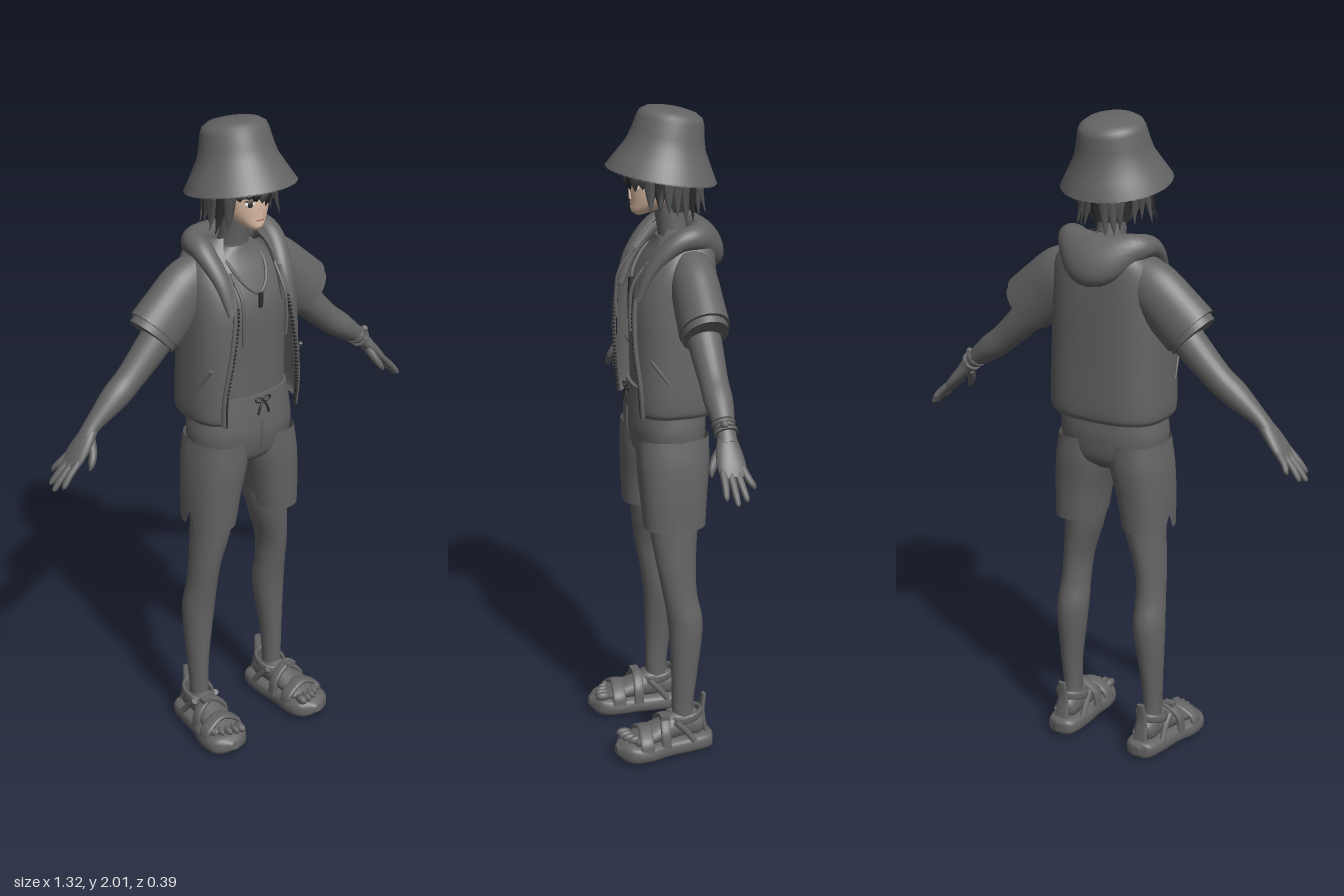
import * as THREE from 'three';

const mat = (name, color) => {
  const m = new THREE.MeshStandardMaterial({ color, side: THREE.DoubleSide });
  m.name = name;
  return m;
};

// Loft of rounded sections through points [x, y, z, radiusU, radiusV, frontGapDegrees].
// U follows opt.ref; opt.flat keeps every section horizontal; opt.n squares the section.
function loft(points, opt = {}) {
  const { ref = [1, 0, 0], flat = false, n = 2, seg = 24, rings = 24, caps = true, closed = false, warp } = opt;
  const path = new THREE.CatmullRomCurve3(points.map(p => new THREE.Vector3(p[0], p[1], p[2])), closed, 'catmullrom');
  const size = new THREE.CatmullRomCurve3(points.map(p => new THREE.Vector3(p[3], p[4], p[5] || 0)), closed, 'catmullrom');
  const open = points[0][5] > 0;
  const cols = open ? seg + 1 : seg;
  const pos = [], idx = [], r = new THREE.Vector3(...ref), up = new THREE.Vector3(0, 1, 0);
  const pw = c => Math.sign(c) * Math.pow(Math.abs(c), 2 / n);
  for (let i = 0; i <= rings; i++) {
    const c = path.getPoint(i / rings), s = size.getPoint(i / rings);
    const t = flat ? up : path.getTangent(i / rings);
    const u = r.clone().addScaledVector(t, -r.dot(t)).normalize();
    const v = new THREE.Vector3().crossVectors(t, u);
    const gap = open ? s.z * Math.PI / 180 : 0;
    for (let j = 0; j < cols; j++) {
      const a = open ? -Math.PI / 2 + gap + (Math.PI * 2 - 2 * gap) * j / seg : Math.PI * 2 * j / seg;
      const p = c.clone().addScaledVector(u, s.x * pw(Math.cos(a))).addScaledVector(v, s.y * pw(Math.sin(a)));
      if (warp) warp(p, j);
      pos.push(p.x, p.y, p.z);
    }
  }
  for (let i = 0; i < rings; i++) for (let j = 0; j < seg; j++) {
    const k = (j + 1) % cols, a = i * cols + j, b = i * cols + k;
    idx.push(a, b, b + cols, a, b + cols, a + cols);
  }
  if (caps && !open && !closed) for (const i of [0, rings]) {
    const base = pos.length / 3, c = path.getPoint(i / rings);
    for (let j = 0; j < cols; j++) pos.push(...pos.slice((i * cols + j) * 3, (i * cols + j) * 3 + 3));
    pos.push(c.x, c.y, c.z);
    for (let j = 0; j < cols; j++) {
      const a = base + j, b = base + (j + 1) % cols;
      idx.push(...(i ? [a, b, base + cols] : [b, a, base + cols]));
    }
  }
  const g = new THREE.BufferGeometry();
  g.setAttribute('position', new THREE.Float32BufferAttribute(pos, 3));
  g.setIndex(idx);
  g.computeVertexNormals();
  return g;
}

export function createModel() {
  const grey = mat('grey', 0x646464), skin = mat('face skin', 0xe0c0a8), hairMat = mat('hair grey', 0x525252);
  const dark = mat('dark trim', 0x2c2c2c), white = mat('eye white', 0xe8e4e0), lip = mat('lip', 0xa86a5c);
  const model = new THREE.Group();
  const add = (name, geo, m = grey, x = 0, y = 0, z = 0) => {
    const o = new THREE.Mesh(geo, m);
    o.name = name;
    o.position.set(x, y, z);
    model.add(o);
    return o;
  };
  // Thin round cord of constant radius
  const cord = (name, pts, rad, m = grey, opt = {}) =>
    add(name, loft(pts.map(p => [...p, rad, rad]), { ref: [0.2, 0.3, 1], seg: 8, rings: 28, ...opt }), m);
  const Z = [0, 0, 1];

  // Bucket hat, tilted back
  const hat = add('bucketHat', new THREE.LatheGeometry([
    [0, .196], [.04, .195], [.075, .188], [.093, .176], [.1, .16], [.108, .12], [.118, .085], [.14, .045], [.166, 0],
    [.163, -.004], [.137, .04], [.113, .08], [.1, .12], [.09, .165], [0, .18]
  ].map(p => new THREE.Vector2(...p)).reverse(), 48), grey, 0, 1.806, -.008);
  hat.rotation.x = -.175;

  // Head, neck and face
  add('head', loft([[0, 1.69, .058, .01, .01], [0, 1.703, .045, .03, .038], [0, 1.73, .02, .055, .064], [0, 1.76, .001, .07, .086],
    [0, 1.8, -.01, .08, .098], [0, 1.86, -.015, .085, .1], [0, 1.93, -.02, .06, .075]], { flat: true }), skin);
  add('neck', loft([[0, 1.58, -.055, .062, .058], [0, 1.63, -.045, .047, .046], [0, 1.7, -.03, .043, .042], [0, 1.75, -.02, .043, .042]], { flat: true }));
  const nose = add('nose', new THREE.ConeGeometry(.009, .035, 8), skin, 0, 1.757, .086);
  nose.rotation.x = .25;
  add('mouth', new THREE.BoxGeometry(.024, .003, .004), lip, 0, 1.725, .083);
  for (const s of [1, -1]) {
    const disc = (name, m, w, h, y, z) => {
      const o = add(name, new THREE.SphereGeometry(1, 16, 10), m, s * .033, y, z);
      o.scale.set(w, h, .004);
      o.rotation.y = s * .4;
    };
    disc('eye', white, .016, .009, 1.777, .0775);
    disc('iris', dark, .008, .0095, 1.777, .0795);
    disc('upperLash', dark, .018, .003, 1.787, .079);
    const ear = add('ear', new THREE.SphereGeometry(1, 12, 8), skin, s * .08, 1.775, -.02);
    ear.scale.set(.01, .026, .016);
  }

  // Hair: back shell plus tapering locks
  add('hairShell', loft([[0, 1.7, -.035, .058, .06, 85], [0, 1.75, -.028, .083, .09, 72], [0, 1.82, -.02, .094, .104, 60],
    [0, 1.92, -.02, .075, .09, 50]], { flat: true }), hairMat);
  for (let k = 0; k < 26; k++) {
    const a = Math.PI * 2 * k / 26, sx = Math.sin(a), cz = Math.cos(a), wob = Math.sin(k * 5.3);
    const front = cz > .72;
    const end = front ? 1.778 + .014 * wob : 1.705 + .014 * wob - (cz < -.3 ? .02 : 0);
    const flare = front ? .099 : .098 + .014 * Math.abs(wob);
    add('hairLock', loft([[sx * .088, 1.87, -.016 + cz * .1, .022, .009], [sx * .099, 1.815, -.016 + cz * .112, .021, .009],
      [(sx + wob * .05) * .1, (1.815 + end) / 2, -.016 + cz * .112, .015, .007],
      [(sx + wob * .12) * flare, end, -.016 + cz * (front ? .108 : flare + .01), .001, .001]],
      { ref: [cz, 0, -sx], seg: 6, rings: 10 }), k % 4 === 1 ? dark : hairMat);
  }

  // Shirt and open vest
  add('shirt', loft([[0, 1.1, -.02, .15, .095], [0, 1.3, -.02, .15, .1], [0, 1.45, -.022, .15, .105], [0, 1.54, -.04, .14, .09],
    [0, 1.595, -.05, .1, .068], [0, 1.625, -.048, .056, .054]], { flat: true, n: 2.4, seg: 32 }));
  add('vest', loft([[0, 1.105, -.025, .178, .13, 41], [0, 1.14, -.026, .19, .138, 40], [0, 1.3, -.025, .186, .136, 32],
    [0, 1.45, -.028, .18, .132, 25], [0, 1.55, -.044, .172, .112, 25], [0, 1.61, -.06, .14, .09, 28], [0, 1.655, -.065, .09, .065, 35]],
    { flat: true, n: 2.8, seg: 48, rings: 32 }));
  // Hood folded around the neck
  const hoodSide = [[.1, 1.46, .092, .012, .022], [.112, 1.55, .052, .02, .028], [.125, 1.625, -.02, .03, .034], [.105, 1.635, -.09, .045, .04]];
  add('hood', loft([...hoodSide, [0, 1.6, -.135, .085, .05], ...hoodSide.map(p => [-p[0], ...p.slice(1)]).reverse()],
    { ref: [0, 1, .6], rings: 56 }));

  for (const s of [1, -1]) {
    const m = pts => pts.map(p => [s * p[0], ...p.slice(1)]);

    // Vest front edge with zip teeth, and pocket welt
    const edge = m([[.136, 1.108, .087], [.138, 1.2, .094], [.12, 1.33, .105], [.1, 1.46, .098], [.09, 1.56, .06]]);
    cord('vestEdge', edge, .007);
    const curve = new THREE.CatmullRomCurve3(edge.map(p => new THREE.Vector3(...p)));
    for (let k = 0; k < 34; k++) {
      const p = curve.getPoint(k / 42);
      add('zipTooth', new THREE.BoxGeometry(.008, .006, .008), dark, p.x - s * .006, p.y, p.z + .003);
    }
    cord('pocketWelt', m([[.168, 1.29, .07], [.184, 1.22, .02]]), .005);
    cord('hoodCord', m([[.08, 1.57, .05], [.078, 1.5, .1], [.08, 1.42, .11], [.078, 1.36, .108]]), .005);

    // Sleeve with an under sleeve below it
    add('sleeve', loft(m([[.11, 1.55, -.06, .06, .07], [.16, 1.515, -.06, .069, .085], [.22, 1.46, -.058, .071, .09], [.278, 1.407, -.056, .073, .092]]), { ref: Z, seg: 32 }));
    add('underSleeve', loft(m([[.24, 1.44, -.057, .066, .084], [.29, 1.392, -.056, .067, .083]]), { ref: Z, seg: 32, rings: 4 }));

    // Arm and hand
    add('arm', loft(m([[.18, 1.48, -.058, .05, .055], [.28, 1.37, -.057, .049, .051], [.37, 1.283, -.055, .042, .043], [.43, 1.237, -.052, .041, .04],
      [.505, 1.18, -.048, .028, .024], [.535, 1.15, -.046, .029, .02]]), { ref: Z }));
    add('palm', loft(m([[.515, 1.17, -.047, .026, .02], [.545, 1.135, -.044, .037, .02], [.575, 1.1, -.044, .042, .017], [.598, 1.073, -.045, .038, .011]]), { ref: Z, rings: 14 }));
    [[.624, 1.045], [.65, 1.02], [.658, 1.012], [.643, 1.026]].forEach(([x, y], k) => {
      const zb = -.073 + k * .019, zt = -.094 + k * .028;
      add('finger', loft(m([[.58, 1.095, zb, .011, .011], [(x + .58) / 2 + .004, (y + 1.095) / 2, (zb + zt) / 2, .0105, .01], [x - .006, y + .008, zt, .008, .008],
        [x, y, zt, .002, .002]]), { ref: Z, seg: 10, rings: 12 }));
    });
    add('thumb', loft(m([[.528, 1.14, -.03, .015, .014], [.537, 1.112, -.008, .013, .012], [.552, 1.085, .006, .01, .01], [.562, 1.068, .01, .002, .002]]),
      { ref: Z, seg: 10, rings: 12 }));

    // Shorts leg with a notch in the outer hem
    add('shortsLeg', loft(m([[.12, .75, -.015, .07, .095], [.111, .85, -.015, .079, .102], [.096, .95, -.017, .088, .11], [.088, 1.03, -.018, .083, .11]]),
      { flat: true, n: 2.4, seg: 32, caps: false, warp: (p, j) => { if (j === (s > 0 ? 0 : 16)) p.y = Math.max(p.y, .8); } }));

    // Leg
    add('leg', loft(m([[.147, .06, -.04, .03, .036], [.148, .15, -.035, .029, .034], [.148, .25, -.04, .034, .04], [.14, .42, -.046, .049, .054],
      [.136, .52, -.03, .045, .053], [.13, .61, -.02, .046, .06], [.108, .74, -.016, .06, .075], [.1, .88, -.016, .065, .085]]), { flat: true, rings: 36 }));

    // Foot and toes
    add('foot', loft(m([[.146, .075, -.105, .012, .02], [.146, .08, -.085, .034, .04], [.148, .09, -.03, .038, .048], [.158, .078, .05, .048, .032],
      [.166, .068, .11, .054, .02], [.167, .065, .135, .045, .014]])));
    for (let k = 0; k < 5; k++) {
      const toe = add('toe', new THREE.SphereGeometry(1, 12, 8), grey, s * (.126 + k * .021), .07, .15 - k * k * .0025);
      toe.scale.set(k ? .0105 : .014, .015, .024);
    }

    // Sandal: sole, straps, ankle ring and heel tab
    add('sole', loft(m([[.145, .03, -.132, .012, .015], [.145, .03, -.115, .045, .028], [.148, .03, -.05, .058, .03], [.156, .03, .03, .062, .03],
      [.165, .031, .1, .074, .031], [.169, .034, .155, .062, .031], [.171, .038, .187, .014, .012]]), { n: 3, rings: 36 }));
    for (const [x, z, w, h, b] of [[.164, .1, .066, .1, .022], [.156, .035, .058, .128, .016]])
      add('strap', loft(m([[x - w, .04, z, b, .008], [x - w * .82, h * .75, z, b, .008], [x, h, z - .006, b, .008],
        [x + w * .82, h * .75, z, b, .008], [x + w, .04, z, b, .008]]), { ref: Z, n: 3, seg: 12 }));
    add('strapBuckle', new THREE.BoxGeometry(.035, .014, .026), grey, s * .17, .13, .032);
    const ring = [];
    for (let k = 0; k < 12; k++) {
      const a = k * Math.PI / 6;
      ring.push([s * (.148 + .043 * Math.cos(a)), .118 - .012 * Math.sin(a), -.04 + .052 * Math.sin(a), .014, .006]);
    }
    add('ankleStrap', loft(ring, { ref: [0, 1, 0], closed: true, n: 3, seg: 10, rings: 36 }));
    for (const d of [-1, 1])
      cord('sideStrap', m([[.148 + d * .05, .045, -.06], [.148 + d * .045, .085, -.03], [.15 + d * .042, .115, .0]]), .01);
    add('heelTab', loft(m([[.146, .05, -.108, .026, .008], [.146, .12, -.098, .018, .008], [.146, .18, -.105, .012, .006]]), { n: 3, seg: 12 }));

    // Drawstring bow
    const loop = add('bowLoop', new THREE.TorusGeometry(.013, .0035, 8, 18), dark, s * .014, 1.165, .101);
    loop.scale.y = .6;
    loop.rotation.z = s * .3;
    cord('bowEnd', [[0, 1.162, .1], [s * .012, 1.145, .104], [s * .02, 1.12, .104]], .0035, dark);
  }

  // Bracelet on the left wrist
  for (const d of [-.012, .008])
    add('bracelet', loft([[.494 + d, 1.188 - d * .8, -.048, .034, .031], [.504 + d, 1.18 - d * .8, -.048, .034, .031]], { ref: Z, rings: 3 }));
  add('braceletBead', new THREE.SphereGeometry(.012, 10, 8), grey, .52, 1.205, -.04);

  // Shorts upper and waistband
  add('shortsUpper', loft([[0, .935, -.02, .08, .06], [0, .97, -.02, .155, .1], [0, 1.04, -.018, .173, .115], [0, 1.1, -.018, .168, .114],
    [0, 1.175, -.018, .155, .106]], { flat: true, n: 2.3, seg: 32 }));
  cord('frontSeam', [[0, 1.1, .098], [0, 1.04, .098], [0, .98, .085]], .003);

  // Necklace with pendant
  cord('necklace', [[.06, 1.62, -.04], [.062, 1.58, .02], [.04, 1.53, .062], [0, 1.5, .08], [-.04, 1.53, .062], [-.062, 1.58, .02], [-.06, 1.62, -.04]], .005);
  add('pendant', new THREE.BoxGeometry(.012, .045, .008), dark, 0, 1.48, .088);

  return model;
}
